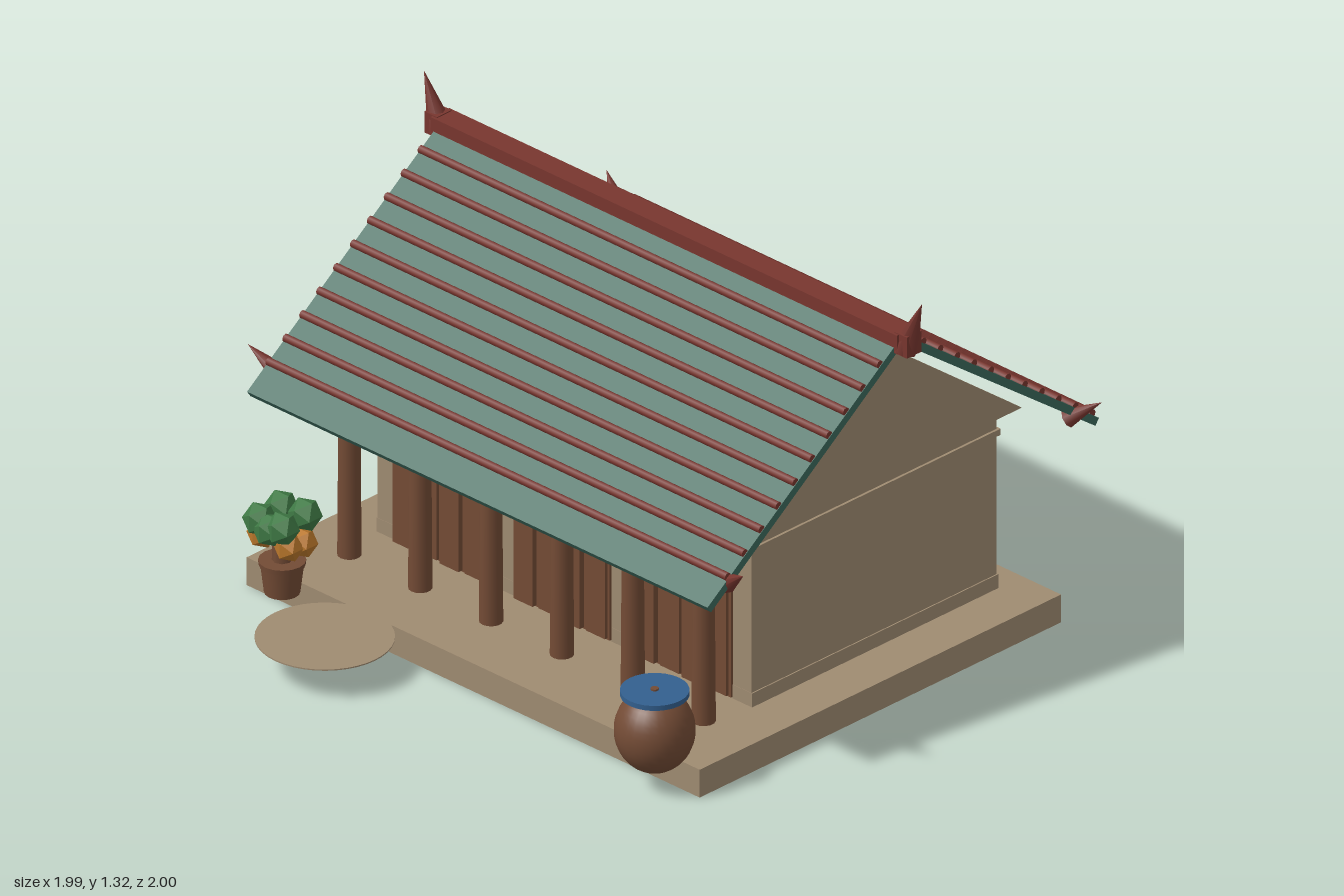
import * as THREE from 'three';

const mat = (name, color, extra = {}) => {
  const m = new THREE.MeshStandardMaterial({ color, ...extra });
  m.name = name;
  return m;
};

export function createModel() {
  const stone = mat('sandstone', 0x9f8b71);
  const teal = mat('teal roof', 0x3c695c);
  const red = mat('dark red trim', 0x78362f);
  const wood = mat('brown wood', 0x734b35);
  const blue = mat('blue lid', 0x33608f);
  const leaf = mat('leaf green', 0x3f7a45, { flatShading: true });
  const orange = mat('orange blossom', 0xb9772b, { flatShading: true });

  const model = new THREE.Group();
  model.name = 'pavilion';
  const add = (name, geo, material, x = 0, y = 0, z = 0, parent = model) => {
    const m = new THREE.Mesh(geo, material);
    m.name = name;
    m.position.set(x, y, z);
    parent.add(m);
    return m;
  };
  const box = (name, material, [x0, x1], [y0, y1], [z0, z1], parent = model) =>
    add(name, new THREE.BoxGeometry(x1 - x0, y1 - y0, z1 - z0), material,
      (x0 + x1) / 2, (y0 + y1) / 2, (z0 + z1) / 2, parent);
  // Cone running from its base point to its tip
  const horn = (name, radius, from, to) => {
    const a = new THREE.Vector3(...from), b = new THREE.Vector3(...to);
    const dir = b.clone().sub(a);
    const m = add(name, new THREE.ConeGeometry(radius, dir.length(), 8), red);
    m.position.copy(a).add(b).multiplyScalar(0.5);
    m.quaternion.setFromUnitVectors(new THREE.Vector3(0, 1, 0), dir.normalize());
  };

  // Platform, walls and their mouldings
  box('platform', stone, [-0.903, 0.903], [0, 0.09], [-0.86, 0.605]);
  box('walls', stone, [-0.745, 0.745], [0.09, 0.635], [-0.76, 0.235]);
  box('upperMoulding', stone, [-0.753, 0.753], [0.585, 0.605], [-0.768, 0.243]);
  box('lowerMoulding', stone, [-0.749, 0.749], [0.09, 0.135], [-0.764, 0.236]);

  // Gable slabs at both ends
  const tri = new THREE.Shape([
    new THREE.Vector2(-0.86, 0.635), new THREE.Vector2(0.45, 0.635), new THREE.Vector2(-0.205, 1.125),
  ]);
  const gable = new THREE.ExtrudeGeometry(tri, { depth: 0.05, bevelEnabled: false });
  gable.rotateY(-Math.PI / 2).translate(0.025, 0, 0);
  for (const s of [-1, 1]) add('gable', gable, stone, s * 0.722, 0, 0);

  // Porch columns
  const column = new THREE.CylinderGeometry(0.031, 0.035, 0.55, 14);
  for (let i = 0; i < 6; i++) add('column', column, wood, -0.708 + i * 0.2825, 0.365, 0.387);

  // Three folding doors of vertical leaves
  for (const cx of [-0.483, 0, 0.483]) {
    const door = new THREE.Group();
    door.name = 'door';
    model.add(door);
    box('doorPanel', wood, [cx - 0.188, cx + 0.188], [0.095, 0.51], [0.23, 0.243], door);
    for (let i = 0; i < 4; i++) {
      const x = cx - 0.141 + i * 0.094;
      box('doorLeaf', wood, [x - 0.038, x + 0.038], [0.1, 0.505], [0.24, i % 2 ? 0.253 : 0.26], door);
    }
  }

  // Roof slopes with rows of round ribs
  const pitch = Math.PI / 5, cos = Math.cos(pitch);
  const rib = new THREE.CylinderGeometry(0.0125, 0.0125, 1.832, 8).rotateZ(Math.PI / 2);
  const slopes = [
    { turn: 0, first: 0.09, count: 10 },
    { turn: Math.PI, first: 0.082, count: 11 },
  ];
  for (const { turn, first, count } of slopes) {
    const side = new THREE.Group();
    side.name = 'roofSide';
    side.position.set(0, 1.19, -0.205);
    side.rotation.y = turn;
    model.add(side);
    const slope = new THREE.Group();
    slope.name = 'roofSlope';
    slope.rotation.x = pitch;
    side.add(slope);
    box('roofSlab', teal, [-0.918, 0.918], [-0.025, 0], [0, 0.981], slope);
    for (let k = 0; k < count; k++) add('roofRib', rib, red, 0, 0.004, (first + 0.0685 * k) / cos, slope);
  }

  // Ridge beam, end blocks and horns
  box('ridgeBeam', red, [-0.93, 0.93], [1.145, 1.205], [-0.243, -0.167]);
  for (const s of [-1, 1]) {
    add('ridgeEnd', new THREE.BoxGeometry(0.05, 0.068, 0.06), red, s * 0.937, 1.174, -0.205);
    horn('ridgeHorn', 0.04, [s * 0.925, 1.15, -0.205], [s * 0.993, 1.317, -0.205]);
    horn('frontEaveHorn', 0.03, [s * 0.895, 0.645, 0.485], [s * 0.988, 0.713, 0.515]);
    horn('backEaveHorn', 0.03, [s * 0.895, 0.645, -0.895], [s * 0.988, 0.713, -0.94]);
  }

  // Round slab in front of the platform
  add('steppingDisc', new THREE.CylinderGeometry(0.2, 0.2, 0.004, 40), stone, -0.4, 0.1, 0.8);

  // Water jar with lid and knob
  add('waterJar', new THREE.SphereGeometry(0.117, 28, 20).scale(1, 1.1, 1), wood, 0.763, 0.183, 0.645);
  add('jarLid', new THREE.CylinderGeometry(0.099, 0.099, 0.016, 28), blue, 0.763, 0.304, 0.645);
  add('lidKnob', new THREE.CylinderGeometry(0.012, 0.012, 0.008, 10), wood, 0.763, 0.313, 0.645);

  // Potted plant
  const plant = new THREE.Group();
  plant.name = 'pottedPlant';
  plant.position.set(-0.688, 0.09, 0.68);
  model.add(plant);
  add('pot', new THREE.CylinderGeometry(0.064, 0.052, 0.1, 16), wood, 0, 0.05, 0, plant);
  add('potRim', new THREE.CylinderGeometry(0.069, 0.067, 0.016, 16), wood, 0, 0.096, 0, plant);
  add('stem', new THREE.CylinderGeometry(0.026, 0.03, 0.12, 8), wood, 0, 0.155, 0, plant);
  const blob = new THREE.IcosahedronGeometry(0.052, 0);
  for (const [x, y, z] of [[-0.042, 0.243, -0.04], [0.04, 0.245, -0.052], [-0.045, 0.235, 0.045],
    [0.042, 0.235, 0.042], [0, 0.22, 0.05]]) add('leafCluster', blob, leaf, x, y, z, plant);
  const bloom = new THREE.IcosahedronGeometry(0.046, 0);
  for (const [x, z] of [[-0.06, 0.02], [0.062, -0.02], [-0.03, -0.045], [0.052, 0.025]])
    add('blossom', bloom, orange, x, 0.175, z, plant);

  return model;
}
